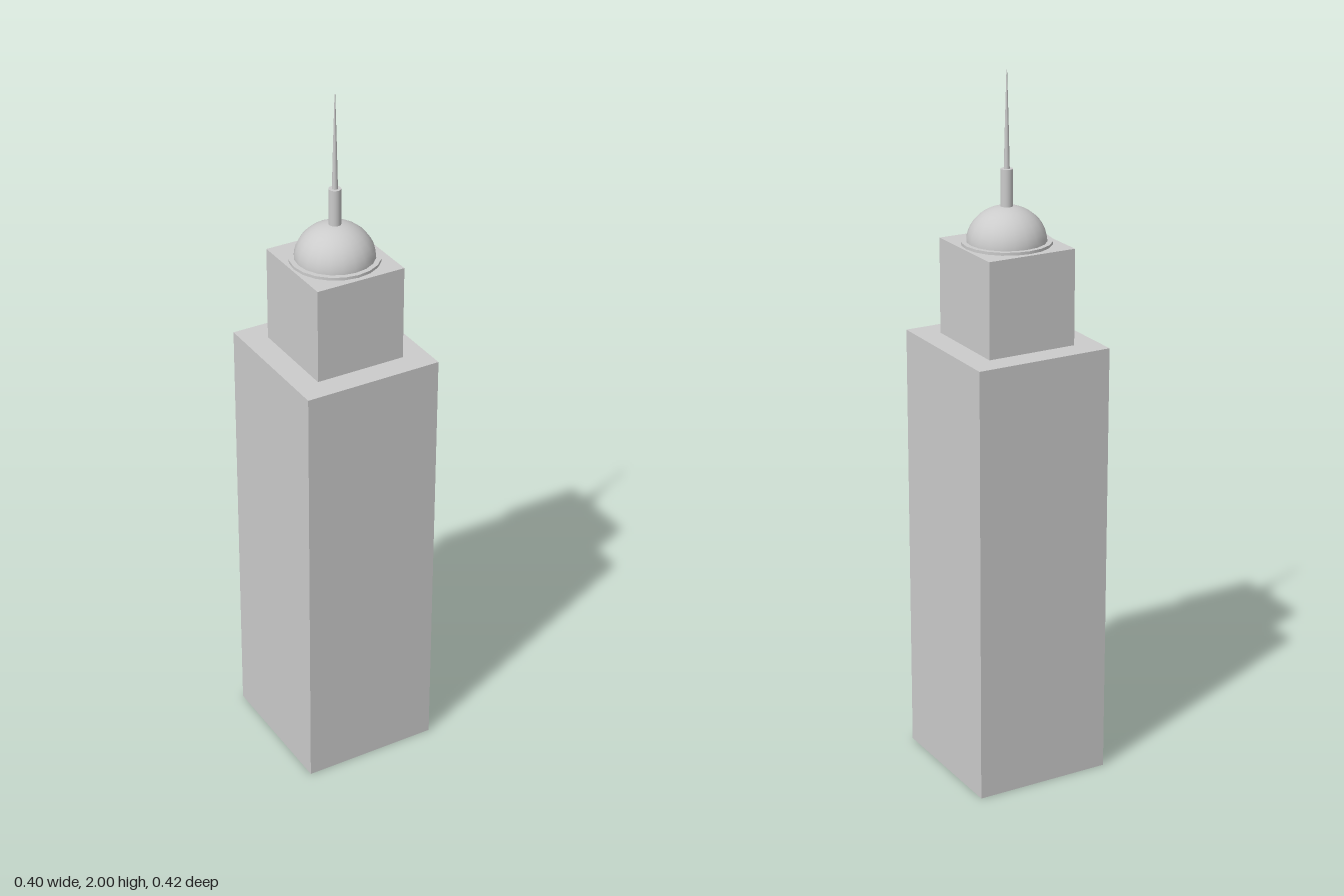
import * as THREE from 'three';

export function createModel() {
  const model = new THREE.Group();
  const material = new THREE.MeshStandardMaterial({ color: 0xcccccc });

  function add(name, geometry, y) {
    const mesh = new THREE.Mesh(geometry, material);
    mesh.name = name;
    mesh.position.y = y;
    model.add(mesh);
  }

  // Block or round section standing between two heights
  const block = (name, w, d, y0, y1) =>
    add(name, new THREE.BoxGeometry(w, y1 - y0, d), (y0 + y1) / 2);
  const round = (name, rBottom, rTop, y0, y1, sides) =>
    add(name, new THREE.CylinderGeometry(rTop, rBottom, y1 - y0, sides), (y0 + y1) / 2);

  // Stepped tower
  block('towerShaft', 0.4, 0.416, 0, 1.26);
  block('upperTower', 0.262, 0.276, 1.26, 1.53);

  // Dome on a low circular plinth
  round('domePlinth', 0.124, 0.124, 1.53, 1.538, 20);
  const dome = new THREE.SphereGeometry(0.11, 20, 10, 0, Math.PI * 2, 0, Math.PI / 2);
  dome.scale(1, 0.1 / 0.11, 1);
  add('dome', dome, 1.534);

  // Mast and tapering spire
  round('mast', 0.017, 0.017, 1.62, 1.735, 16);
  round('spireBase', 0.008, 0.005, 1.735, 1.86, 12);
  round('spireTip', 0.005, 0.001, 1.86, 2, 12);

  return model;
}
